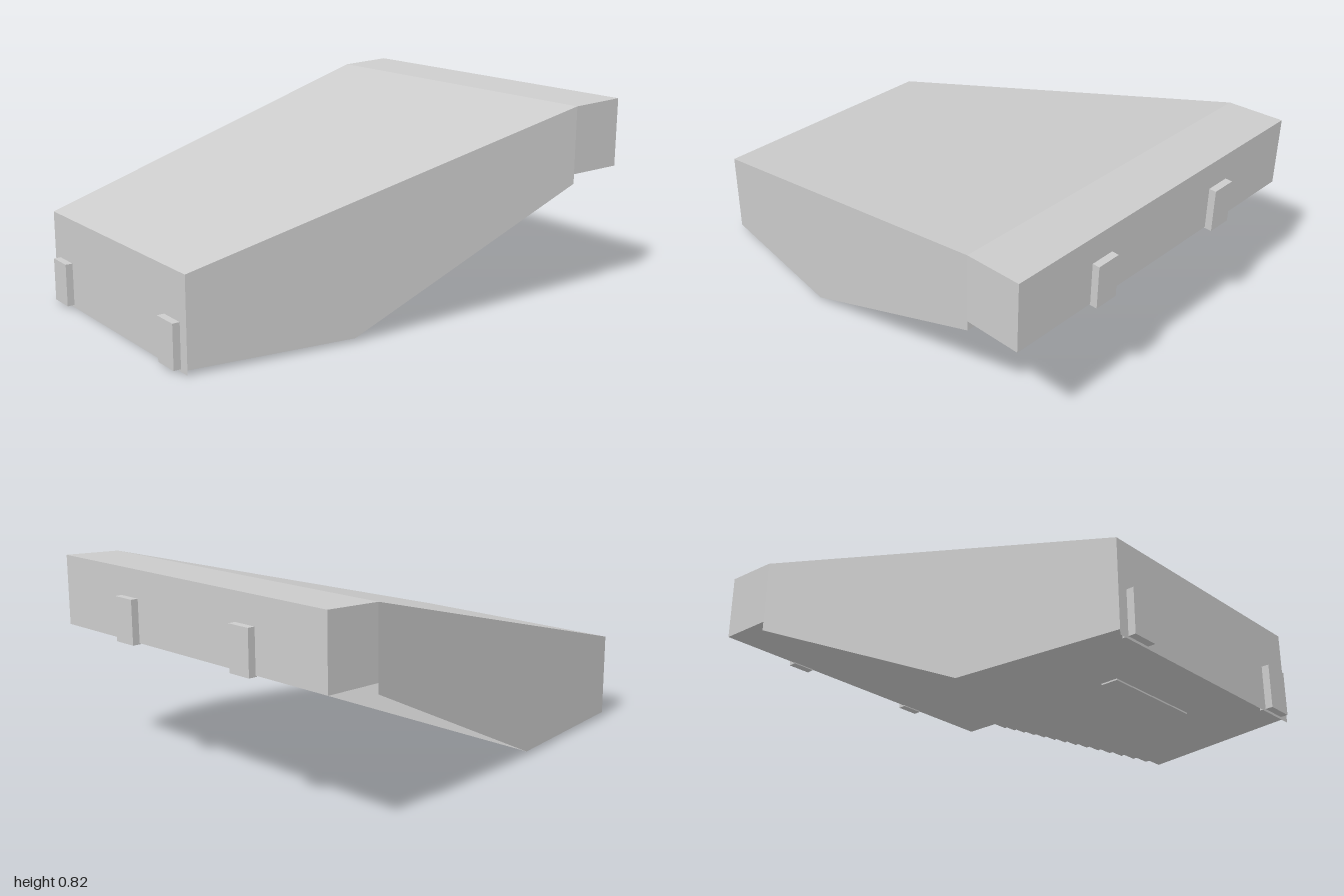
import * as THREE from 'three';

const FRONT = 0.97, KINK = -0.73, REAR = -0.97;
// half width of the body at a given depth
const halfWidth = (z) => z > KINK
  ? 0.53 + (0.225 * (FRONT - z)) / (FRONT - KINK)
  : 0.755 + (0.005 * (KINK - z)) / (KINK - REAR);

// skin spanning the full width along a (z, y) path
function strip(path) {
  const pos = [];
  for (let i = 0; i < path.length - 1; i++) {
    const [az, ay] = path[i], [bz, by] = path[i + 1];
    const a = halfWidth(az), b = halfWidth(bz);
    pos.push(-a, ay, az, a, ay, az, b, by, bz);
    pos.push(-a, ay, az, b, by, bz, -b, by, bz);
  }
  const geo = new THREE.BufferGeometry();
  geo.setAttribute('position', new THREE.Float32BufferAttribute(pos, 3));
  geo.computeVertexNormals();
  return geo;
}

// side wall from a (z, y) outline, side = 1 or -1
function wall(outline, side) {
  const shape = new THREE.Shape(outline.map(([z, y]) => new THREE.Vector2(-z, y)));
  const geo = new THREE.ShapeGeometry(shape);
  const p = geo.attributes.position;
  for (let i = 0; i < p.count; i++) {
    const z = -p.getX(i);
    p.setXYZ(i, side * halfWidth(z), p.getY(i), z);
  }
  if (side < 0) geo.setIndex(Array.from(geo.index.array).reverse());
  geo.computeVertexNormals();
  return geo;
}

export function createModel() {
  const group = new THREE.Group();
  const grey = new THREE.MeshStandardMaterial({ color: 0xcccccc });
  grey.name = 'lightGrey';
  const add = (name, geo) => {
    const mesh = new THREE.Mesh(geo, grey);
    mesh.name = name;
    group.add(mesh);
    return mesh;
  };
  const box = (name, x0, x1, y0, y1, z0, z1) =>
    add(name, new THREE.BoxGeometry(x1 - x0, y1 - y0, z1 - z0))
      .position.set((x0 + x1) / 2, (y0 + y1) / 2, (z0 + z1) / 2);

  // front, sloping top and back
  add('frontPanel', strip([[FRONT, 0], [FRONT, 0.373]]));
  add('topPanel', strip([[FRONT, 0.373], [KINK, 0.815], [REAR, 0.825]]));
  add('backPanel', strip([[REAR, 0.825], [REAR, 0.54]]));

  // stepped underside
  const steps = 14, run = (0.29 - KINK) / steps, rise = 0.48 / steps;
  const under = [[REAR, 0.54], [KINK, 0.535]];
  for (let i = steps; i >= 0; i--) {
    const z = 0.29 - i * run, y = 0.015 + i * rise;
    if (i < steps) under.push([z, y + rise]);
    under.push([z, y]);
  }
  under.push([FRONT, 0.02]);
  add('steppedUnderside', strip(under));

  // side walls
  const main = [[FRONT, 0.02], [0.29, 0.015], [KINK, 0.495], [KINK, 0.815], [FRONT, 0.373]];
  const rear = [[KINK, 0.535], [REAR, 0.54], [REAR, 0.825], [KINK, 0.815]];
  for (const [label, side] of [['left', 1], ['right', -1]]) {
    add(label + 'Wall', wall(main, side));
    add(label + 'RearWall', wall(rear, side));
  }

  // latches with small feet, and the plate under the front
  for (const x of [-0.485, 0.375]) {
    box('frontLatch', x, x + 0.11, 0.01, 0.187, 0.965, 1);
    box('frontLatchFoot', x, x + 0.11, 0.01, 0.03, 0.945, 0.98);
  }
  for (const x of [-0.4, 0.28]) {
    box('backLatch', x, x + 0.105, 0.535, 0.713, -1, -0.965);
  }
  box('bottomPlate', -0.22, 0.22, 0.012, 0.021, 0.645, 0.715);
  return group;
}
